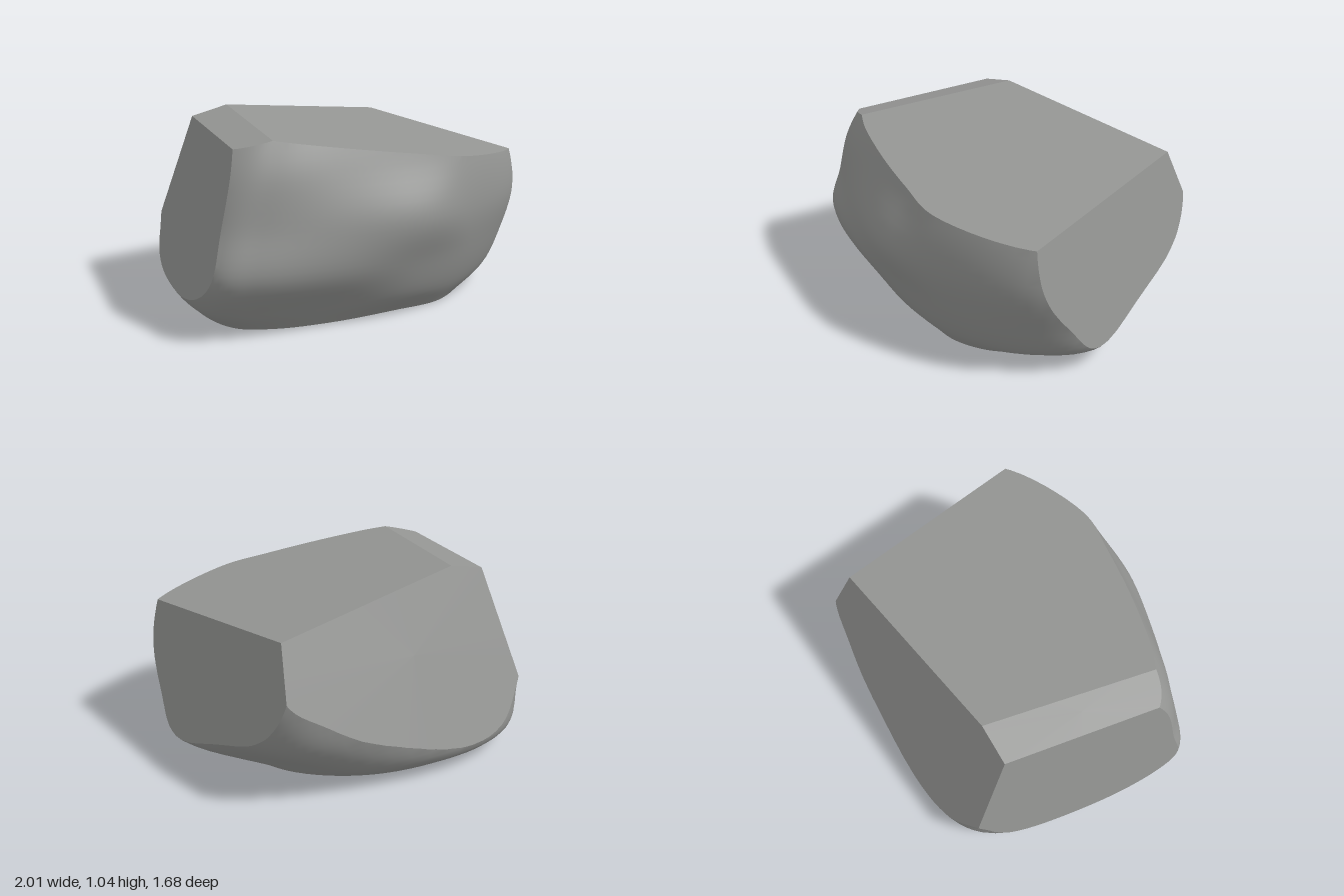
import * as THREE from 'three';
import { toCreasedNormals } from 'three/addons/utils/BufferGeometryUtils.js';

const V = (x, y, z) => new THREE.Vector3(x, y, z);
const CENTRE = V(0, 0.5, 0);

// Horizontal outlines [x, z] of the weathered stone, from the ground up
const LEVELS = [
  [0, [[.68, .1], [.6, .42], [.35, .58], [.05, .58], [-.33, .55], [-.64, .47], [-.81, .35], [-.87, 0], [-.72, -.52], [-.4, -.68], [.15, -.62], [.54, -.34]]],
  [.12, [[.99, .12], [.82, .42], [.4, .65], [.05, .69], [-.35, .63], [-.73, .54], [-.92, .44], [-.98, .05], [-.78, -.65], [-.43, -.82], [.25, -.74], [.62, -.46]]],
  [.33, [[1.04, .12], [.91, .45], [.45, .71], [.07, .77], [-.35, .75], [-.81, .64], [-.99, .53], [-1.05, .05], [-.79, -.67], [-.42, -.83], [.42, -.8], [.78, -.6]]],
  [.57, [[1.1, .1], [.94, .5], [.4, .77], [.07, .83], [-.35, .75], [-.75, .61], [-.93, .5], [-1.1, 0], [-.82, -.68], [-.35, -.88], [.5, -.81], [.79, -.7]]],
  [.85, [[1.1, .1], [.92, .46], [.4, .72], [.1, .71], [-.3, .66], [-.65, .58], [-.84, .47], [-1.05, 0], [-.85, -.68], [-.35, -.9], [.5, -.83], [.74, -.72]]],
  [1.12, [[1, .1], [.8, .38], [.35, .6], [.1, .6], [-.3, .53], [-.55, .45], [-.72, .36], [-.85, 0], [-.75, -.55], [-.4, -.8], [.4, -.8], [.72, -.72]]],
];

// Flat split faces, each given by three points on it
const CUTS = [
  [V(.9, .8, .48), V(.69, .91, -.63), V(-.45, 1.04, -.44)], // top
  [V(.9, .8, .48), V(.69, .91, -.63), V(.995, .11, .12)], // left flank (+x)
  [V(.69, .91, -.63), V(-.45, 1.04, -.44), V(-.3, .2, -.82)], // back
  [V(-.67, .98, -.44), V(-.84, .88, .45), V(-1, .32, .52)], // right flank (-x)
  [V(-.45, 1.04, -.44), V(-.62, .998, .4), V(-.67, .99, -.44)], // chipped upper edge
];

// Smooth skin of triangles through the outlines, closed at the floor
function weatheredBody(around, up) {
  const rings = LEVELS.map(([y, pts]) =>
    new THREE.CatmullRomCurve3(pts.map(([x, z]) => V(x, y, z)), true));
  const columns = [];
  for (let k = 0; k < around; k++) {
    const column = new THREE.CatmullRomCurve3(rings.map((r) => r.getPoint(k / around)));
    columns.push(column.getPoints(up));
  }
  const tris = [];
  columns.forEach((a, k) => {
    const b = columns[(k + 1) % around];
    tris.push([V(0, 0, 0), a[0], b[0]]);
    for (let j = 0; j < up; j++) {
      tris.push([a[j], a[j + 1], b[j]], [b[j], a[j + 1], b[j + 1]]);
    }
  });
  return tris;
}

// Slice the skin with a plane and close the opening with a flat fan
function slice(tris, points) {
  const plane = new THREE.Plane().setFromCoplanarPoints(...points);
  if (plane.distanceToPoint(CENTRE) > 0) plane.negate();
  const kept = [];
  const rim = [];
  for (const tri of tris) {
    const poly = [];
    tri.forEach((a, i) => {
      const b = tri[(i + 1) % 3];
      const da = plane.distanceToPoint(a);
      const db = plane.distanceToPoint(b);
      if (da <= 0) poly.push(a);
      if ((da <= 0) !== (db <= 0)) {
        const p = a.clone().lerp(b, da / (da - db));
        poly.push(p);
        if (!rim.some((q) => q.distanceTo(p) < 1e-4)) rim.push(p);
      }
    });
    for (let i = 2; i < poly.length; i++) kept.push([poly[0], poly[i - 1], poly[i]]);
  }
  if (rim.length < 3) return kept;
  const mid = rim.reduce((s, p) => s.add(p), V(0, 0, 0)).divideScalar(rim.length);
  const u = rim[0].clone().sub(mid).normalize();
  const v = plane.normal.clone().cross(u);
  const angle = (p) => {
    const d = p.clone().sub(mid);
    return Math.atan2(d.dot(v), d.dot(u));
  };
  rim.sort((p, q) => angle(p) - angle(q));
  rim.forEach((p, i) => kept.push([mid, p, rim[(i + 1) % rim.length]]));
  return kept;
}

export function createModel() {
  const tris = CUTS.reduce(slice, weatheredBody(96, 30))
    .filter((t) => new THREE.Triangle(...t).getArea() > 1e-8);
  const geometry = new THREE.BufferGeometry().setFromPoints(tris.flat());
  const boulder = new THREE.Mesh(
    toCreasedNormals(geometry, 0.3),
    new THREE.MeshStandardMaterial({ color: 0x949593 }),
  );
  boulder.name = 'boulder';
  const group = new THREE.Group();
  group.name = 'splitRock';
  group.add(boulder);
  return group;
}
